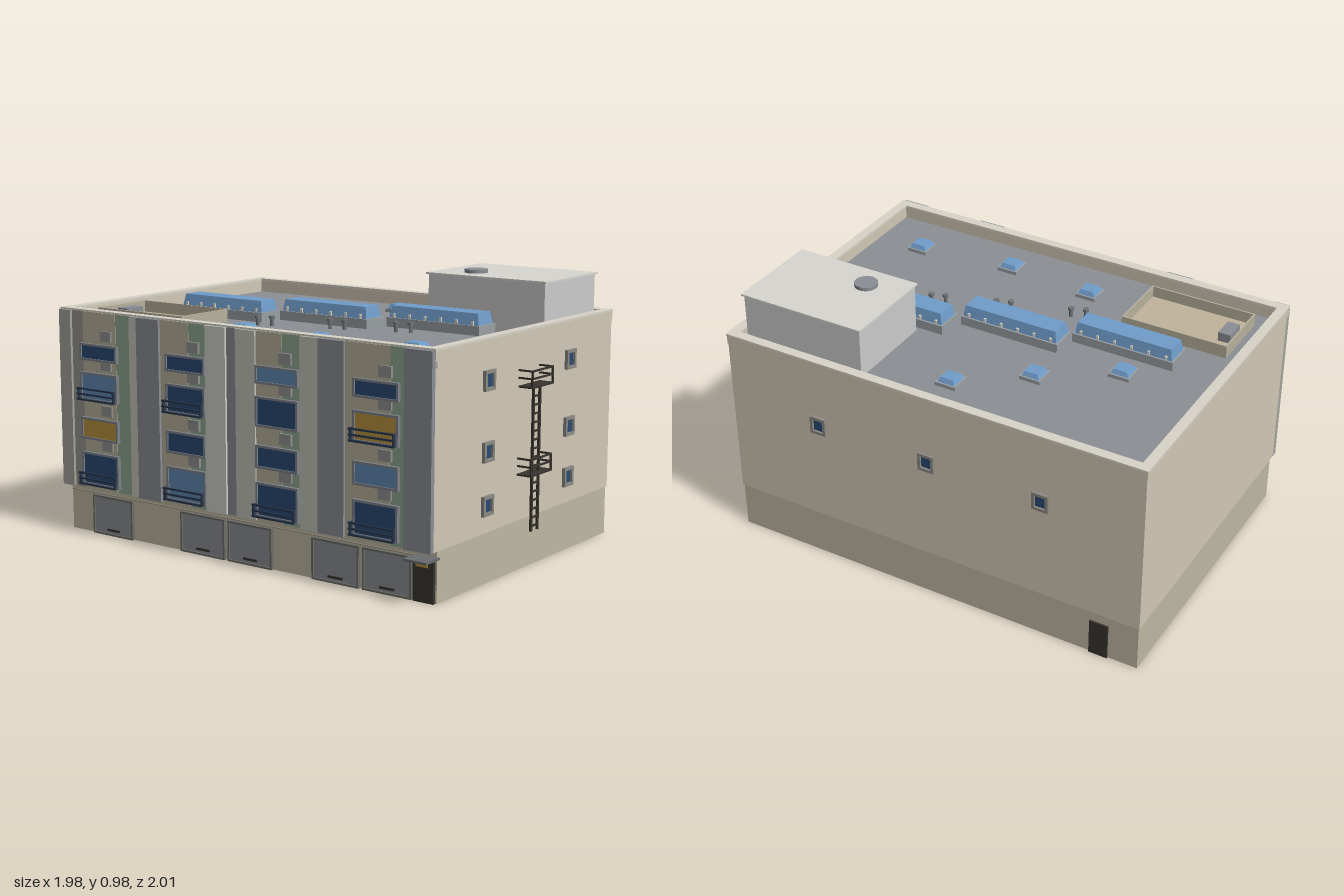
import * as THREE from 'three';

const L = 0.816, W = 0.572;           // half length, half width
const mats = {};
const mat = (c) => (mats[c] ??= new THREE.MeshStandardMaterial({ color: c, flatShading: true }));
const WALL = 0xd2c8b6, BASE = 0xbfb8a2, TRIM = 0xd8d4c8, GREY = 0x8a8e94, DARK = 0x38342f;
const GLASS = 0x6f9cca, NAVY = 0x2a4a72, BLUE = 0x6188b4, GOLD = 0xb8923c, GREEN = 0x8fa894, TAN = 0xb8b19c;

function add(parent, name, geo, color, x = 0, y = 0, z = 0) {
  const m = new THREE.Mesh(geo, mat(color));
  m.name = name;
  m.position.set(x, y, z);
  parent.add(m);
  return m;
}
// box given by its limits
const box = (p, name, color, x0, x1, y0, y1, z0, z1) =>
  add(p, name, new THREE.BoxGeometry(x1 - x0, y1 - y0, z1 - z0), color, (x0 + x1) / 2, (y0 + y1) / 2, (z0 + z1) / 2);

function group(parent, name, x = 0, y = 0, z = 0, ry = 0) {
  const g = new THREE.Group();
  g.name = name;
  g.position.set(x, y, z);
  g.rotation.y = ry;
  parent.add(g);
  return g;
}
const rect = (C, w, h) => new C([[-w, -h], [w, -h], [w, h], [-w, h]].map(([x, y]) => new THREE.Vector2(x, y)));

// rectangular ring (half sizes w, h, border t) extruded by d along z
function ringGeo(w, h, t, d) {
  const s = rect(THREE.Shape, w, h);
  s.holes.push(rect(THREE.Path, w - t, h - t));
  return new THREE.ExtrudeGeometry(s, { depth: d, bevelEnabled: false });
}
// the same ring lying flat
const flatRing = (w, h, t, d) => ringGeo(w, h, t, d).rotateX(-Math.PI / 2);

// box whose top is narrower by an inset
function taperedBox(w, h, d, inset) {
  const g = new THREE.BoxGeometry(w, h, d), p = g.attributes.position;
  for (let i = 0; i < p.count; i++) if (p.getY(i) > 0) {
    p.setX(i, p.getX(i) - Math.sign(p.getX(i)) * inset);
    p.setZ(i, p.getZ(i) - Math.sign(p.getZ(i)) * inset);
  }
  g.computeVertexNormals();
  return g;
}

function smallWindow(wall, x, y) {
  const g = group(wall, 'smallWindow', x, y, 0);
  add(g, 'windowFrame', ringGeo(0.031, 0.034, 0.011, 0.012), 0x8c8a84);
  box(g, 'windowPane', NAVY, -0.021, 0.021, -0.024, 0.024, 0, 0.004);
}

function skylight(parent, name, x, z, w, d, y0, h) {
  const g = group(parent, name, x, y0, z);
  box(g, 'skylightCurb', 0x9aa0a4, -w / 2, w / 2, 0, h * 0.45, -d / 2, d / 2);
  add(g, 'skylightGlass', taperedBox(w - 0.012, h * 0.6, d - 0.012, 0.008), GLASS, 0, h * 0.7, 0);
  return g;
}

function buildFacade(b) {
  const f = group(b, 'facade', 0, 0, W);
  // vertical panels: start, end, colour, depth
  [[-0.816, -0.76, 0xa5a49e, 0.016], [-0.76, -0.705, 0x98968e, 0.006], [-0.705, -0.545, TAN, 0.008],
   [-0.545, -0.475, GREEN, 0.006], [-0.475, -0.435, 0xc8c7be, 0.012], [-0.435, -0.33, GREY, 0.018],
   [-0.33, -0.2, TAN, 0.008], [-0.2, -0.12, GREEN, 0.006], [-0.12, -0.03, 0xd0d0ca, 0.014],
   [-0.03, 0.015, GREY, 0.006], [0.015, 0.1, 0xc4c4bc, 0.014], [0.1, 0.21, TAN, 0.008],
   [0.21, 0.29, GREEN, 0.006], [0.29, 0.368, 0xc4c4bc, 0.014], [0.368, 0.473, GREY, 0.018],
   [0.473, 0.65, TAN, 0.008], [0.65, 0.71, GREEN, 0.006], [0.71, 0.816, GREY, 0.018],
  ].forEach(([x0, x1, c, d]) => box(f, 'facadePanel', c, x0, x1, 0.175, 0.826, -0.01, d));

  // window grid, rows from the top
  const rows = [[0.65, 0.712], [0.503, 0.607], [0.36, 0.44], [0.19, 0.312]];
  const panes = [[NAVY, BLUE, GOLD, NAVY], [NAVY, NAVY, NAVY, BLUE], [BLUE, NAVY, NAVY, NAVY], [NAVY, GOLD, BLUE, NAVY]];
  const rails = [[1, 3], [1, 3], [3], [1, 3]];
  [-0.623, -0.21, 0.194, 0.599].forEach((x, c) => {
    rows.forEach(([y0, y1], r) => {
      const g = group(f, 'facadeWindow', x, (y0 + y1) / 2, 0), h = (y1 - y0) / 2;
      add(g, 'windowFrame', ringGeo(0.09, h, 0.008, 0.02), 0x7d8288);
      box(g, 'windowPane', panes[c][r], -0.083, 0.083, 0.007 - h, h - 0.007, 0, 0.015);
      box(g, 'ventBlock', 0x90928f, 0.01, 0.06, h + 0.012, h + 0.05, 0, 0.016);
      if (rails[c].includes(r)) {
        for (let i = 0; i < 3; i++) box(g, 'balconyRail', 0x26364c, -0.1, 0.08, i * 0.02 - h, i * 0.02 + 0.006 - h, 0.022, 0.03);
        for (const sx of [-0.098, 0.074]) box(g, 'railPost', 0x26364c, sx, sx + 0.006, -h, 0.046 - h, 0, 0.028);
      }
    });
  });

  // garage doors in the recessed ground floor
  const g = group(b, 'groundFloorFront', 0, 0, 0.545);
  for (const [x0, x1] of [[-0.698, -0.503], [-0.27, -0.067], [-0.052, 0.143], [0.315, 0.51], [0.525, 0.72]]) {
    const m = (x0 + x1) / 2;
    add(g, 'garageFrame', ringGeo((x1 - x0) / 2, 0.0725, 0.007, 0.012), 0x6c6c68, m, 0.0725, 0);
    box(g, 'garageDoor', GREY, x0 + 0.006, x1 - 0.006, 0.004, 0.14, 0, 0.006);
    box(g, 'garageHandle', DARK, m - 0.03, m + 0.03, 0.016, 0.024, 0, 0.01);
  }
  box(g, 'groundBand', 0x9c9682, -0.81, 0.81, 0.148, 0.152, 0, 0.004);
  // entrance with canopy
  box(g, 'entranceDoor', DARK, 0.726, 0.806, 0, 0.146, 0, 0.012);
  box(g, 'entrancePlate', GOLD, 0.74, 0.785, 0.118, 0.132, 0.01, 0.015);
  box(g, 'entranceCanopy', 0x6a6d70, 0.73, 0.82, 0.147, 0.155, -0.005, 0.075);
}

function buildLadderWall(b) {
  const w = group(b, 'ladderWall', L, 0, 0, Math.PI / 2);
  for (const x of [-0.262, 0.27]) for (const y of [0.69, 0.452, 0.27]) smallWindow(w, x, y);
  const esc = group(w, 'fireLadder');
  for (const s of [-1, 1]) box(esc, 'ladderRail', DARK, s * 0.021 - 0.004, s * 0.021 + 0.004, 0.135, 0.64, 0.026, 0.034);
  for (let y = 0.15; y < 0.63; y += 0.03) box(esc, 'ladderRung', DARK, -0.02, 0.02, y, y + 0.006, 0.027, 0.033);
  for (const y of [0.335, 0.637]) {
    const p = group(esc, 'landing', 0, y, 0);
    box(p, 'landingFloor', DARK, -0.07, 0.07, 0, 0.006, 0, 0.055);
    for (const h of [0.03, 0.056]) {
      box(p, 'landingRail', DARK, -0.07, 0.07, h, h + 0.006, 0.049, 0.055);
      for (const s of [-1, 1]) box(p, 'sideRail', DARK, s * 0.067 - 0.003, s * 0.067 + 0.003, h, h + 0.006, 0, 0.055);
    }
    for (const s of [-1, 1]) box(p, 'landingPost', DARK, s * 0.067 - 0.003, s * 0.067 + 0.003, 0, 0.062, 0.049, 0.055);
  }
}

function buildRoof(b) {
  const D = 0.778;
  box(b, 'roofDeck', 0x8b9095, -L + 0.025, L - 0.025, D - 0.01, D, -W + 0.025, W - 0.025);
  add(b, 'parapet', flatRing(L, W, 0.028, 0.055), WALL, 0, 0.77, 0);
  add(b, 'parapetBand', flatRing(L + 0.002, W + 0.002, 0.01, 0.034), WALL, 0, 0.791, 0);
  add(b, 'parapetCap', flatRing(L + 0.004, W + 0.004, 0.036, 0.008), TRIM, 0, 0.824, 0);

  // penthouse
  box(b, 'penthouse', 0xcccccc, 0.302, 0.78, D, 0.962, -0.505, -0.154);
  box(b, 'penthouseRoof', 0xd8d6d0, 0.295, 0.788, 0.962, 0.969, -0.512, -0.147);
  add(b, 'roofHatch', new THREE.CylinderGeometry(0.042, 0.042, 0.014, 24), GREY, 0.444, 0.975, -0.246);

  // sunken terrace with a low wall and a vent
  const t = group(b, 'terrace', -0.528, D, 0.347);
  add(t, 'terraceWall', flatRing(0.203, 0.125, 0.006, 0.048), TAN);
  box(t, 'terraceFloor', 0xc0b49c, -0.2, 0.2, 0, 0.006, -0.122, 0.122);
  box(t, 'terraceVent', GREY, -0.18, -0.133, 0.006, 0.04, -0.04, 0.044);

  // long skylights with studs along the rim, then small ones
  for (const [x, z] of [[-0.41, 0.107], [-0.01, 0.012], [0.4, -0.083]]) {
    const s = skylight(b, 'longSkylight', x, z, 0.39, 0.105, D, 0.076);
    for (let i = 0; i < 6; i++) for (const k of [-1, 1])
      box(s, 'rimStud', TRIM, -0.17 + i * 0.066, -0.162 + i * 0.066, 0.034, 0.05, k * 0.046 - 0.004, k * 0.046 + 0.004);
  }
  for (const [x, z] of [[-0.467, -0.044], [-0.21, -0.207], [0.02, -0.381], [-0.12, 0.372], [0.225, 0.399], [0.598, 0.359]])
    skylight(b, 'smallSkylight', x, z, 0.08, 0.08, D, 0.03);

  // vent pipes in pairs
  for (const [x, z] of [[-0.156, 0.213], [0.105, 0.129], [0.334, 0.05]])
    for (const s of [-1, 1]) {
      add(b, 'ventPipe', new THREE.CylinderGeometry(0.007, 0.007, 0.03, 12), 0x707478, x + s * 0.025, D + 0.015, z - s * 0.009);
      add(b, 'ventCap', new THREE.CylinderGeometry(0.011, 0.011, 0.01, 12), 0x707478, x + s * 0.025, D + 0.032, z - s * 0.009);
    }
}

export function createModel() {
  const root = new THREE.Group();
  root.name = 'apartmentBlock';
  const b = group(root, 'building', 0, 0, -0.017, -THREE.MathUtils.degToRad(45.5));
  box(b, 'groundFloor', BASE, -L + 0.004, L - 0.004, 0, 0.176, -W + 0.004, 0.545);
  box(b, 'upperFloors', WALL, -L, L, 0.176, 0.77, -W, W);
  buildFacade(b);
  buildLadderWall(b);

  // rear wall
  const rear = group(b, 'rearWall', 0, 0, -W, Math.PI);
  for (const x of [-0.446, -0.004, 0.438]) smallWindow(rear, x, 0.57);
  box(rear, 'rearDoor', DARK, 0.63, 0.7, 0, 0.138, -0.006, 0.003);

  buildRoof(b);
  return root;
}
